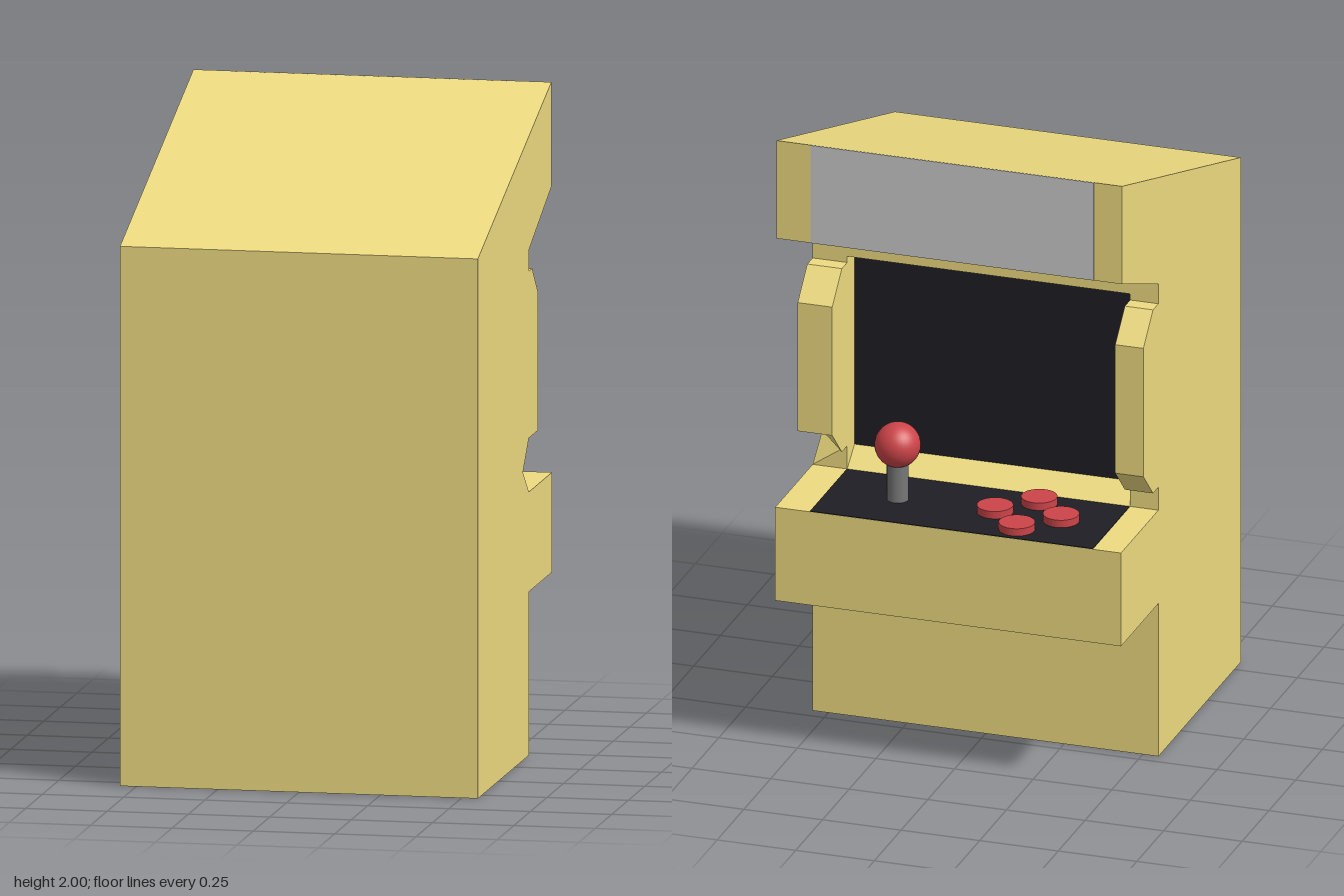
import * as THREE from 'three';

const mat = (color) => new THREE.MeshStandardMaterial({ color });

// Slab across x: joins two matching [z, y] profiles at x0 and x1, with flat faces.
function slab(x0, p0, x1, p1) {
  const pos = [];
  const low = (i) => pos.push(x0, p0[i][1], p0[i][0]);
  const high = (i) => pos.push(x1, p1[i][1], p1[i][0]);
  const tris = (p) => THREE.ShapeUtils.triangulateShape(p.map(([z, y]) => new THREE.Vector2(z, y)), []);
  for (const [a, b, c] of tris(p0)) { low(a); low(b); low(c); }
  for (const [a, b, c] of tris(p1)) { high(a); high(c); high(b); }
  for (let i = 0; i < p0.length; i++) {
    const j = (i + 1) % p0.length;
    low(i); high(i); high(j);
    low(i); high(j); low(j);
  }
  const geo = new THREE.BufferGeometry();
  geo.setAttribute('position', new THREE.Float32BufferAttribute(pos, 3));
  geo.computeVertexNormals();
  return geo;
}

export function createModel() {
  const group = new THREE.Group();
  const cabinet = mat(0xeedb80), black = mat(0x1f1e24), red = mat(0xcc4449);
  const stickGrey = mat(0x777777), grey = mat(0xcccccc);

  const add = (name, geo, material, x = 0, y = 0, z = 0) => {
    const mesh = new THREE.Mesh(geo, material);
    mesh.name = name;
    mesh.position.set(x, y, z);
    group.add(mesh);
    return mesh;
  };

  // Cabinet profiles as [z, y]; the player side is at -z
  const roof = [[0.56, 0], [0.56, 1.65], [-0.55, 2], [-0.55, 1.68], [-0.21, 1.545]];
  const base = [[-0.21, 0.805], [-0.56, 0.805], [-0.56, 0.5], [-0.21, 0.5], [-0.21, 0]];
  const cheek = [[-0.21, 1.48], [-0.26, 1.48], [-0.35, 1.39], [-0.35, 0.97]];
  const side = [...roof, ...cheek, [-0.26, 0.88], [-0.21, 0.88], ...base];
  const notched = [...roof, ...cheek, [-0.21, 0.97], [-0.12, 0.88], ...base];
  const middle = [...roof, [-0.21, 1.5], [-0.14, 1.5], [-0.14, 0.86], ...base];
  const xr = -0.46, xl = 0.44;

  add('cabinetMiddle', slab(xr, middle, xl, middle), cabinet);
  add('rightSidePanel', slab(-0.55, side, xr, side), cabinet);
  // The left panel flares into a notch under its cheek
  add('leftSidePanel', slab(xl, side, 0.55, notched), cabinet);

  // Inset panels share the width of the middle section
  const w = xl - xr, cx = (xl + xr) / 2;
  add('screen', new THREE.BoxGeometry(w, 0.64, 0.006), black, cx, 1.18, -0.141);
  add('marquee', new THREE.BoxGeometry(w, 0.319, 0.004), grey, cx, 1.84, -0.55);
  add('controlPanel', new THREE.BoxGeometry(w, 0.004, 0.344), black, cx, 0.805, -0.387);

  // Joystick
  const zc = -0.385;
  add('joystickShaft', new THREE.CylinderGeometry(0.033, 0.033, 0.16, 24), stickGrey, 0.22, 0.88, zc);
  add('joystickBall', new THREE.SphereGeometry(0.07, 32, 20), red, 0.22, 0.985, zc);

  // Four buttons in a diamond
  const button = new THREE.CylinderGeometry(0.055, 0.055, 0.03, 28);
  for (let i = 0; i < 4; i++) {
    const a = (i * Math.PI) / 2;
    add('button' + (i + 1), button, red, -0.195 + 0.105 * Math.cos(a), 0.816, zc + 0.105 * Math.sin(a));
  }
  return group;
}
